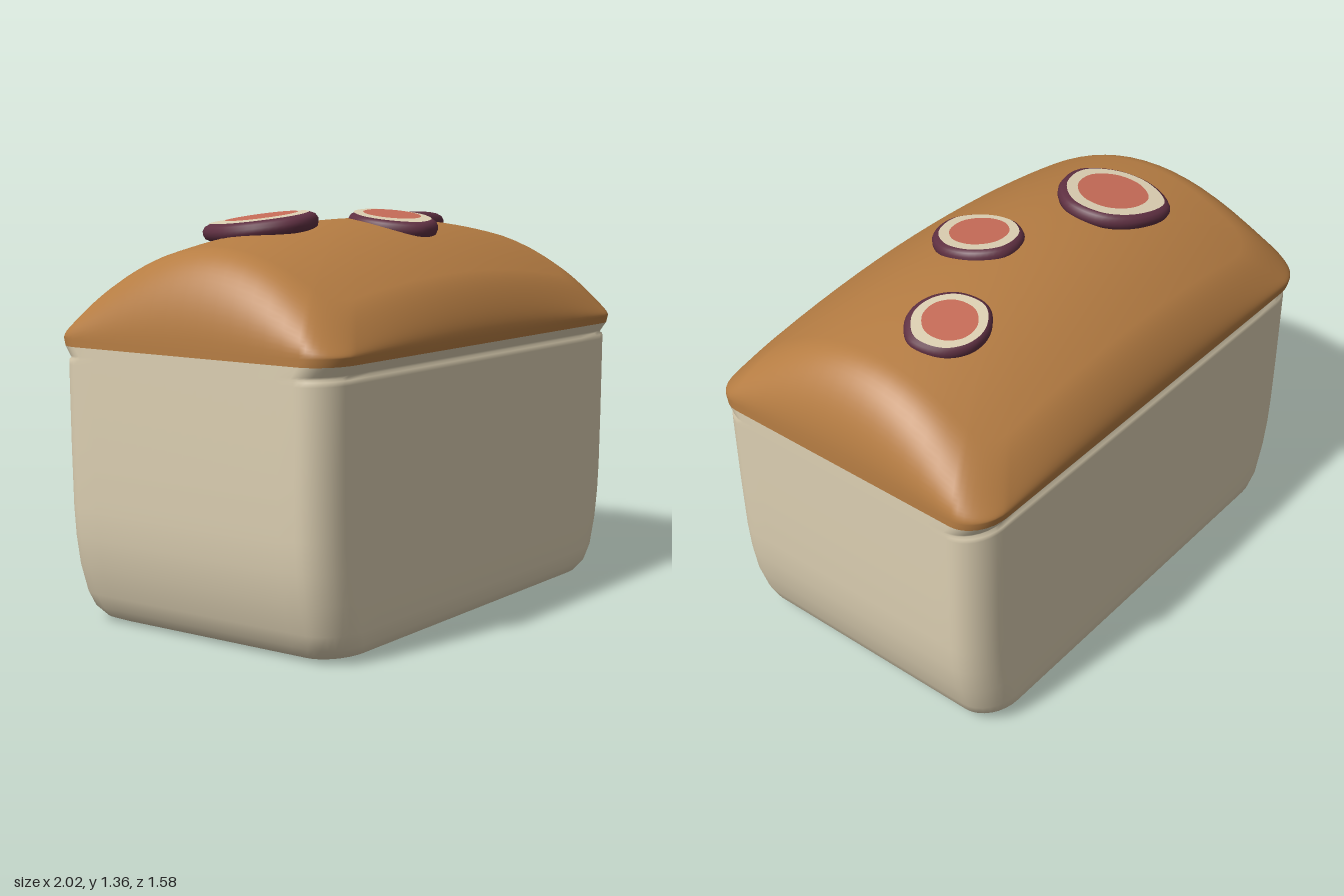
import * as THREE from 'three';

const mat = (name, color) => Object.assign(new THREE.MeshStandardMaterial({ color }), { name });

// Skin a stack of closed rings (each an array of Vector3, bottom to top).
function loft(rings) {
  const n = rings[0].length, pos = [], index = [];
  rings.forEach(ring => ring.forEach(p => pos.push(p.x, p.y, p.z)));
  for (let r = 0; r < rings.length - 1; r++) {
    for (let i = 0; i < n; i++) {
      const a = r * n + i, b = r * n + (i + 1) % n;
      index.push(a, a + n, b, b, a + n, b + n);
    }
  }
  const geo = new THREE.BufferGeometry();
  geo.setAttribute('position', new THREE.Float32BufferAttribute(pos, 3));
  geo.setIndex(index);
  geo.computeVertexNormals();
  return geo;
}

// Rounded rectangle with half sizes a, b, subdivided along its straight sides.
function outline(a, b, rx = 0.14, rz = 0.11) {
  const pts = [], arc = 8, side = 14;
  for (let q = 0; q < 4; q++) {
    const sx = q === 0 || q === 3 ? 1 : -1, sz = q < 2 ? 1 : -1;
    for (let k = 0; k <= arc; k++) {
      const t = (q + k / arc) * Math.PI / 2;
      pts.push(new THREE.Vector2(sx * (a - rx) + rx * Math.cos(t), sz * (b - rz) + rz * Math.sin(t)));
    }
    const from = pts[pts.length - 1];
    const to = [[-(a - rx), b], [-a, -(b - rz)], [a - rx, -b], [a, b - rz]][q];
    for (let k = 1; k < side; k++) pts.push(from.clone().lerp(new THREE.Vector2(...to), k / side));
  }
  return pts;
}

const level = (pts, y, s = 1) => pts.map(p => new THREE.Vector3(p.x * s, y, p.y * s));

// Closed irregular outline through evenly spaced radii.
function blob(radii) {
  const curve = new THREE.CatmullRomCurve3(radii.map((r, i) => {
    const t = i / radii.length * Math.PI * 2;
    return new THREE.Vector3(r * Math.cos(t), 0, r * Math.sin(t));
  }), true);
  return curve.getPoints(48).slice(0, 48).map(p => new THREE.Vector2(p.x, p.z));
}

export function createModel() {
  const model = new THREE.Group();
  const crumbMat = mat('pale crumb', 0xdccfb2);
  const crustMat = mat('brown crust', 0xb67d43);
  const skinMat = mat('purple skin', 0x5f3042);
  const fleshMat = mat('pink flesh', 0xc66b57);

  const add = (parent, name, geo, material) => {
    const mesh = new THREE.Mesh(geo, material);
    mesh.name = name;
    parent.add(mesh);
    return mesh;
  };

  // The loaf sits turned on its base
  const loaf = new THREE.Group();
  loaf.name = 'loaf';
  loaf.rotation.y = 0.316;
  model.add(loaf);

  // Body: height, half length, half depth; ends with a ledge under the crust
  const levels = [
    [0, 0.76, 0.48], [0.015, 0.795, 0.512], [0.05, 0.825, 0.535], [0.1, 0.848, 0.545],
    [0.2, 0.88, 0.546], [0.3, 0.896, 0.547], [0.4, 0.904, 0.547], [0.6, 0.908, 0.548],
    [0.87, 0.91, 0.549], [0.885, 0.91, 0.548], [0.892, 0.91, 0.537], [0.9, 0.91, 0.543], [0.93, 0.91, 0.564],
  ];
  const bodyRings = levels.map(([y, a, b]) => level(outline(a, b), y));
  const base = outline(0.76, 0.48);
  add(loaf, 'body', loft([level(base, 0, 0), level(base, 0, 0.97), ...bodyRings]), crumbMat);

  // Crust: shallow dome that rolls over steeply near its rim
  const rim = outline(0.91, 0.57);
  const rimY = 0.955;
  const crustRings = [level(outline(0.91, 0.564), 0.93)];
  for (let k = 0; k <= 28; k++) {
    const s = k < 16 ? 0.8 + 0.2 * Math.cos(k / 16 * Math.PI / 2) : 0.8 * (1 - (k - 16) / 12);
    const q = Math.max(0, (s - 0.8) / 0.2);
    const roll = Math.pow(Math.max(0, 1 - Math.pow(q, 2.3)), 0.47);
    crustRings.push(rim.map(p => {
      const x = p.x * s, z = p.y * s;
      const dome = 1.325 - 0.12 * x * x - 0.8 * z * z;
      return new THREE.Vector3(x, rimY + (dome - rimY) * roll, z);
    }));
  }
  add(loaf, 'crust', loft(crustRings), crustMat);

  // Fruit slices: top centre, facing direction, outline radii
  const slices = [
    { at: [-0.4, 1.338, 0.05], up: [-0.12, 1, -0.05], radii: [0.18, 0.18, 0.19, 0.18, 0.185, 0.21, 0.178, 0.175] },
    { at: [0.11, 1.333, 0.085], up: [0, 1, 0.13], radii: [0.15, 0.16, 0.172, 0.152, 0.148, 0.153, 0.157, 0.147] },
    { at: [0.44, 1.311, -0.267], up: [0.08, 1, -0.2], radii: [0.148, 0.138, 0.13, 0.137, 0.148, 0.131, 0.125, 0.133] },
  ];
  const skinProfile = [[0, -0.055], [0.9, -0.055], [0.97, -0.047], [1, -0.033], [1, -0.02], [0.96, -0.007], [0.88, 0], [0.8, 0], [0, 0]];
  slices.forEach(({ at, up, radii }) => {
    const slice = new THREE.Group();
    slice.name = 'fruitSlice';
    slice.position.set(...at);
    slice.quaternion.setFromUnitVectors(new THREE.Vector3(0, 1, 0), new THREE.Vector3(...up).normalize());
    model.add(slice);
    const pts = blob(radii);
    const mean = radii.reduce((a, b) => a + b) / radii.length;
    const core = blob(radii.map(r => mean + (r - mean) * 0.4));
    add(slice, 'sliceSkin', loft(skinProfile.map(([s, y]) => level(pts, y, s))), skinMat);
    const pith = add(slice, 'slicePith', loft([level(pts, 0.003, 0.87), level(pts, 0.003, 0)]), crumbMat);
    const flesh = add(slice, 'sliceFlesh', loft([level(core, 0.007, 0.65), level(core, 0.007, 0)]), fleshMat);
    pith.position.z = flesh.position.z = -0.006;
  });

  return model;
}
